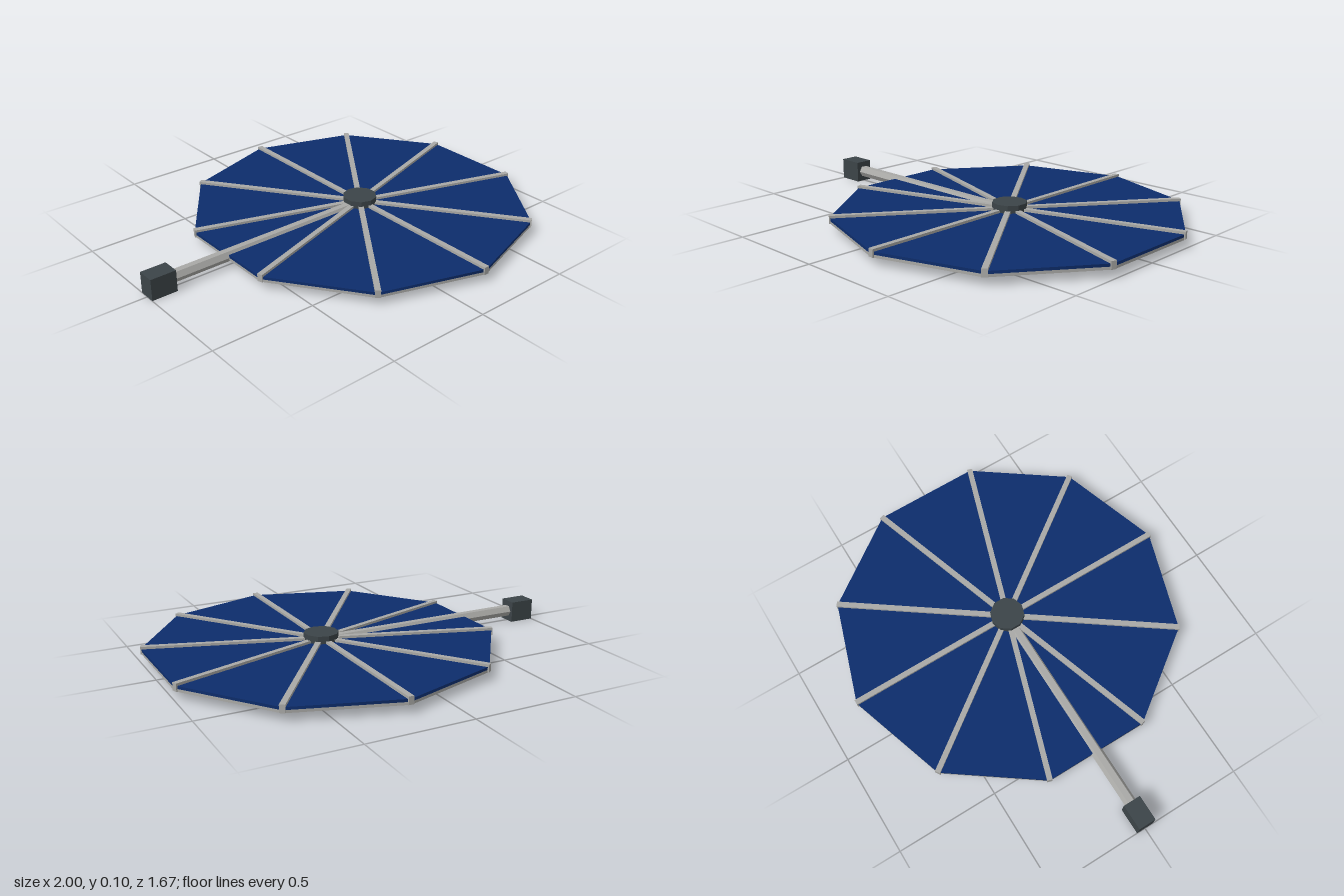
import * as THREE from 'three';

export function createModel() {
  const group = new THREE.Group();
  const panelBlue = new THREE.MeshStandardMaterial({ color: 0x0d2d6c });
  const frameGrey = new THREE.MeshStandardMaterial({ color: 0xa9a9a6 });
  const hubDark = new THREE.MeshStandardMaterial({ color: 0x3c4448 });
  hubDark.flatShading = true;
  frameGrey.flatShading = true;

  const SIDES = 10, R = 0.834, CX = 0.2;

  const add = (name, geometry, material, x, y, z = 0) => {
    const mesh = new THREE.Mesh(geometry, material);
    mesh.name = name;
    mesh.position.set(x, y, z);
    group.add(mesh);
    return mesh;
  };
  // Ten-sided disc around the array's axis, between two heights
  const disc = (name, radius, y0, y1, material) =>
    add(name, new THREE.CylinderGeometry(radius, radius, y1 - y0, SIDES), material, CX, (y0 + y1) / 2);

  // Solar array: grey backing with the blue cell layer on top
  disc('backing', R, 0.038, 0.051, frameGrey);
  disc('cellLayer', R, 0.051, 0.064, panelBlue);

  // Hub plates above and below the array
  disc('hubTop', 0.083, 0.064, 0.101, hubDark);
  disc('hubBottom', 0.083, 0.016, 0.038, hubDark);

  // Radial ribs, one to each corner
  const inner = 0.05, length = R + 0.002 - inner;
  const ribGeometry = new THREE.BoxGeometry(0.026, 0.037, length);
  ribGeometry.translate(0, 0, inner + length / 2);
  for (let i = 0; i < SIDES; i++) {
    const rib = add('rib' + (i + 1), ribGeometry, frameGrey, CX, 0.0575);
    rib.rotation.y = (i / SIDES) * Math.PI * 2;
  }

  // Hexagonal boom from the mounting block to the hub
  const boomStart = -0.9, boomEnd = 0.16;
  const boom = new THREE.CylinderGeometry(0.029, 0.029, boomEnd - boomStart, 6);
  boom.rotateZ(Math.PI / 2);
  add('boom', boom, frameGrey, (boomStart + boomEnd) / 2, 0.052);

  // Mounting block at the end of the boom
  add('mountingBlock', new THREE.BoxGeometry(0.125, 0.104, 0.086), hubDark, -0.9375, 0.052);

  return group;
}
